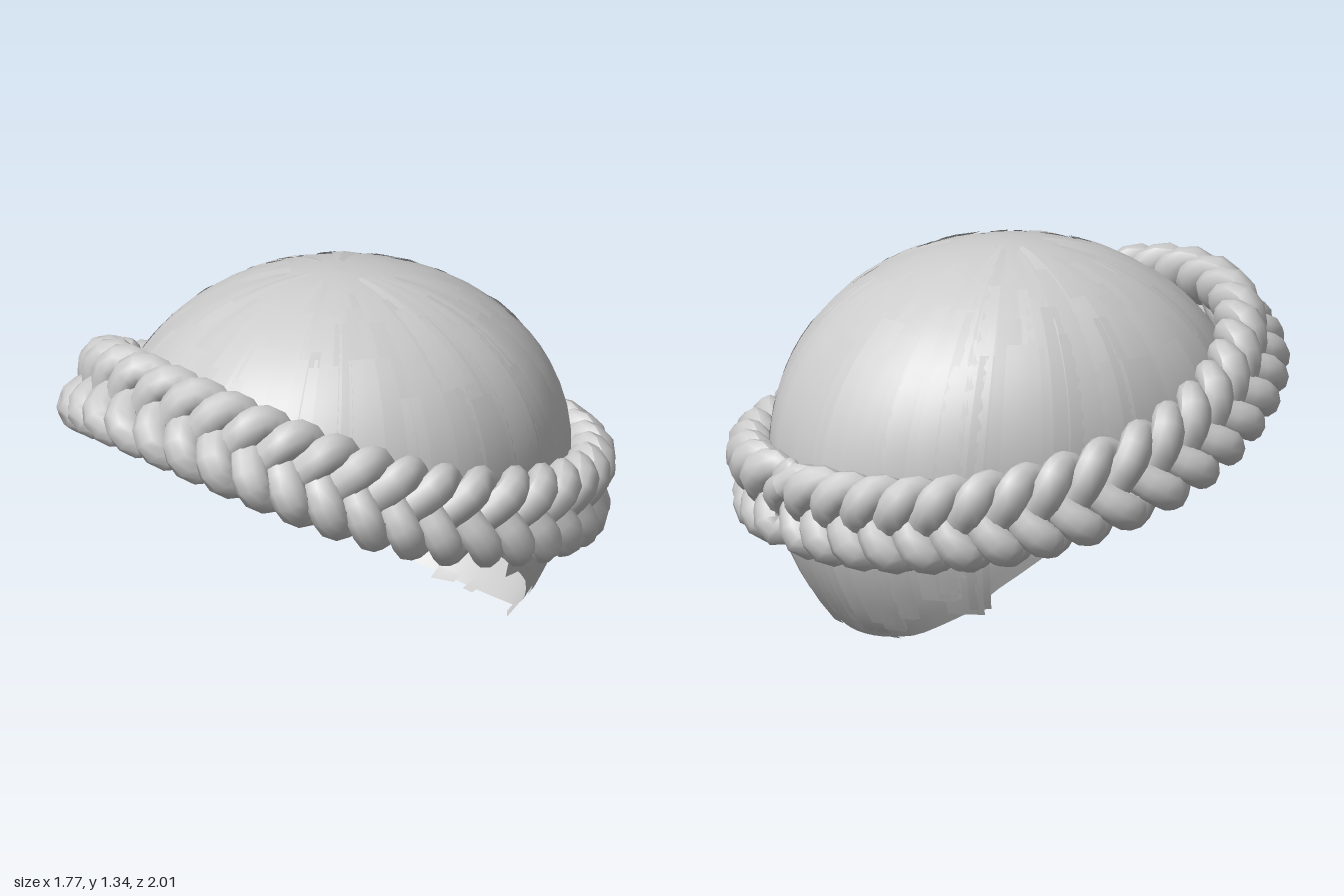
import * as THREE from 'three';

const PERIODS = 13; // braid repeats around the head
const hair = new THREE.MeshStandardMaterial({ color: 0xcccccc, side: THREE.DoubleSide });

// small seeded random generator
let seed = 7;
const rand = () => (seed = (seed * 16807) % 2147483647) / 2147483647;

// grid surface from a function f(u, v) -> Vector3, u and v in 0..1
function surface(f, nu, nv, name) {
  const pos = [], idx = [];
  for (let i = 0; i <= nu; i++) {
    for (let j = 0; j <= nv; j++) pos.push(...f(i / nu, j / nv).toArray());
  }
  for (let i = 0; i < nu; i++) {
    for (let j = 0; j < nv; j++) {
      const a = i * (nv + 1) + j, b = a + nv + 1;
      idx.push(a, a + 1, b, b, a + 1, b + 1);
    }
  }
  const g = new THREE.BufferGeometry();
  g.setAttribute('position', new THREE.Float32BufferAttribute(pos, 3));
  g.setIndex(idx);
  g.computeVertexNormals();
  const mesh = new THREE.Mesh(g, hair);
  mesh.name = name;
  return mesh;
}

// point on the egg-shaped skull: azimuth a (0 = front), polar angle th, scale s
function skull(a, th, s = 1) {
  const c = Math.cos(th), r = Math.sin(th);
  const rx = 0.725 + 0.1 * Math.max(c, 0);
  return new THREE.Vector3(
    s * rx * r * Math.sin(a),
    0.6 + s * (c > 0 ? 0.74 : 0.86) * c,
    s * 0.867 * r * Math.cos(a));
}

const braidHeight = c => 0.64 + 0.26 * c + 0.12 * c * c;

// lower edge of the cap: low at the nape, rising to the braid at the front
const nape = [[-1, 0], [-0.85, 0.04], [-0.63, 0.15], [-0.5, 0.25], [-0.23, 0.42], [0, 0.54]];
function rimAngle(a) {
  const c = Math.cos(a);
  let y = braidHeight(c) - 0.06;
  if (c < 0) {
    const k = Math.max(1, nape.findIndex(p => p[0] >= c));
    const [c0, y0] = nape[k - 1], [c1, y1] = nape[k];
    y = THREE.MathUtils.mapLinear(c, c0, c1, y0, y1);
  }
  const d = y - 0.6;
  return Math.acos(d / (d > 0 ? 0.74 : 0.86));
}

// overlapping flat locks combed from the crown to the lower edge
function buildLocks() {
  const group = new THREE.Group();
  group.name = 'hairLocks';
  const count = 52;
  for (let layer = 0; layer < 3; layer++) {
    for (let i = 0; i < count; i++) {
      const a0 = ((i + rand() * 0.7) / count) * Math.PI * 2;
      const width = 0.08 + rand() * 0.12;
      const lift = 1.004 + layer * 0.003 + rand() * 0.004;
      const tilt = (rand() - 0.5) * 0.016;
      const start = 0.1 + layer * 0.25 + rand() * 0.4;
      const rim = Math.min(rimAngle(a0), rimAngle(a0 + width));
      const loose = Math.cos(a0) < -0.2 && rand() > 0.92;
      const end = rim + (loose ? 0.07 : -0.02 - rand() * 0.12);
      group.add(surface((u, v) => {
        const th = THREE.MathUtils.lerp(start, end, v);
        const p = skull(a0 + width * u, th, lift + tilt * (u - 0.5));
        p.y = Math.max(p.y, 0.005);
        return p;
      }, 3, 14, 'hairLock'));
    }
  }
  return group;
}

// centre line of the braid
function braidCentre(a) {
  const s = Math.sin(a), c = Math.cos(a), e = 2 / 2.15;
  return new THREE.Vector3(
    Math.sign(s) * Math.abs(s) ** e * 0.783,
    braidHeight(c),
    Math.sign(c) * Math.abs(c) ** e * (c > 0 ? 0.858 : 0.898));
}

// centre, outward and upward directions of the braid band
function braidFrame(a) {
  const p = braidCentre(a);
  const t = braidCentre(a + 0.02).sub(braidCentre(a - 0.02)).normalize();
  const n = new THREE.Vector3(p.x / 0.53, (p.y - 0.6) / 0.52, p.z / 0.76);
  n.addScaledVector(t, -n.dot(t)).normalize();
  return { p, n, up: new THREE.Vector3().crossVectors(n, t).normalize() };
}

// the braid is pinched where its ends meet at the back
const braidSize = a =>
  0.75 + 0.27 * THREE.MathUtils.smoothstep(Math.PI - Math.abs(a), 0, 0.1);

// one strand weaves across the band and in and out of it
function strandPoint(a, phase) {
  const { p, n, up } = braidFrame(a);
  const t = a * PERIODS + phase, size = braidSize(a);
  const depth = Math.sin(2 * t);
  return p.addScaledVector(up, size * 0.118 * Math.sin(t))
    .addScaledVector(n, size * depth * (depth > 0 ? 0.045 : 0.034));
}

function buildStrand(phase) {
  return surface((u, v) => {
    const a = (u * 2 - 1) * Math.PI;
    const p = strandPoint(a, phase);
    const t = strandPoint(a + 0.01, phase).sub(strandPoint(a - 0.01, phase)).normalize();
    const { n } = braidFrame(a);
    n.addScaledVector(t, -n.dot(t)).normalize();
    const side = new THREE.Vector3().crossVectors(n, t);
    const w = v * Math.PI * 2, size = braidSize(a);
    return p.addScaledVector(side, size * 0.064 * Math.cos(w))
      .addScaledVector(n, size * (w < Math.PI ? 0.056 : 0.048) * Math.sin(w));
  }, PERIODS * 18, 10, 'braidStrand');
}

export function createModel() {
  const model = new THREE.Group();
  model.name = 'braidedHair';

  // smooth base shell
  model.add(surface((u, v) => {
    const a = u * Math.PI * 2;
    return skull(a, rimAngle(a) * v);
  }, 72, 28, 'hairCap'));

  model.add(buildLocks());

  // three-strand braid wrapped around the head
  const braid = new THREE.Group();
  braid.name = 'braid';
  for (let k = 0; k < 3; k++) braid.add(buildStrand((k * Math.PI * 2) / 3));
  model.add(braid);

  // tucked end of the braid at the back
  const tuft = new THREE.Mesh(new THREE.SphereGeometry(1, 10, 8), hair);
  tuft.name = 'braidEnd';
  tuft.scale.set(0.06, 0.1, 0.05);
  tuft.position.set(0.02, 0.58, -0.91);
  tuft.rotation.z = 0.5;
  model.add(tuft);

  return model;
}
